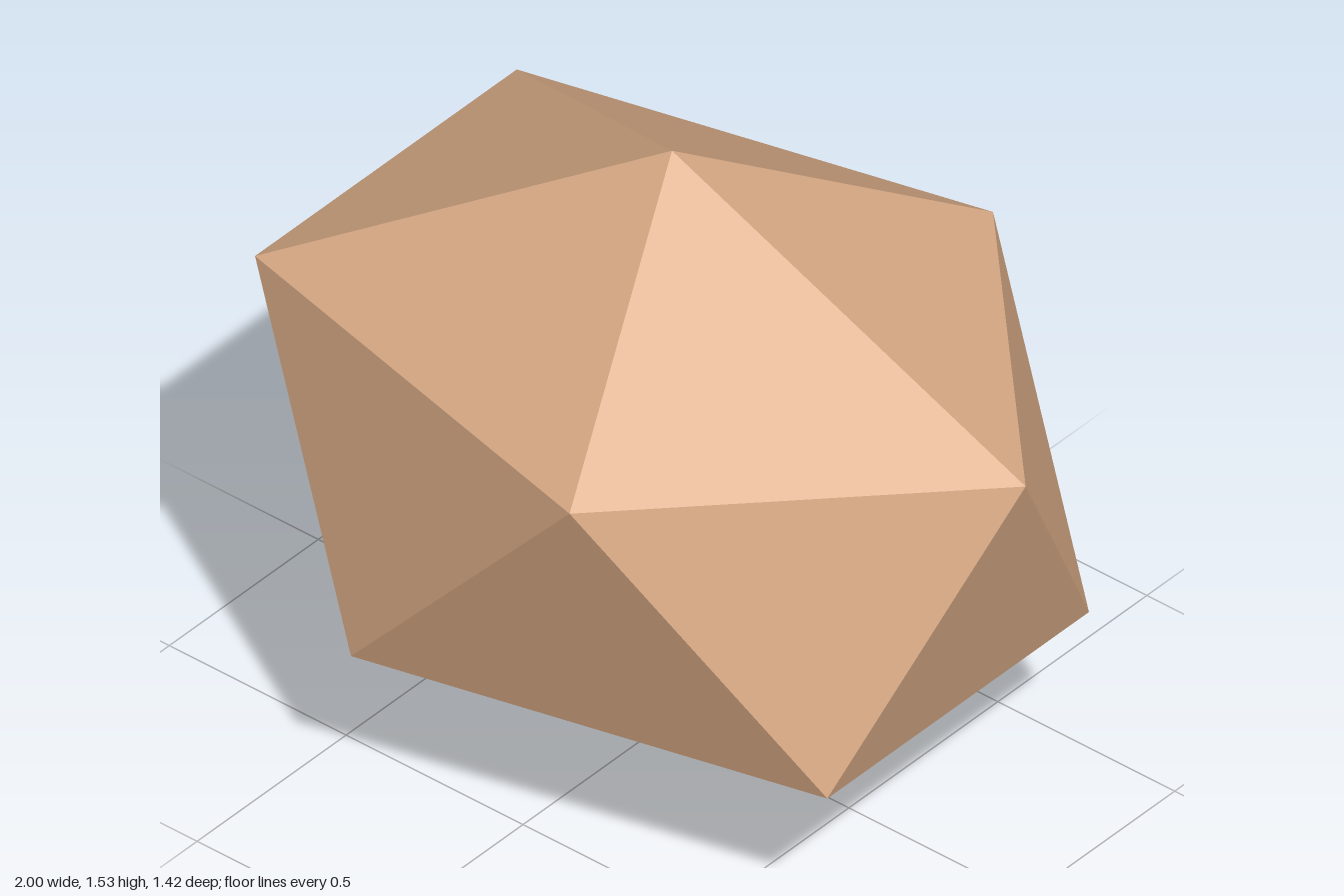
import * as THREE from 'three';

// Faceted twenty-sided stone, stretched along x
export function createModel() {
  const group = new THREE.Group();
  group.name = 'facetedStone';

  const tan = new THREE.MeshStandardMaterial({ color: 0xd8aa85, flatShading: true });
  tan.name = 'warm tan';

  const height = 1.535, lowerY = 0.427, upperY = 1.111;
  const radiusX = 1, radiusZ = 0.747;

  // Point on one of the two staggered five-sided rings
  const ringPoint = (turn, y) => {
    const a = (turn * Math.PI * 2) / 5;
    return [radiusX * Math.cos(a), y, -radiusZ * Math.sin(a)];
  };
  const top = [0, height, 0];
  const bottom = [0, 0, 0];

  // Each fifth: a top facet, two side facets and a bottom facet
  const positions = [];
  for (let i = 0; i < 5; i++) {
    const u0 = ringPoint(i, upperY), u1 = ringPoint(i + 1, upperY);
    const l0 = ringPoint(i + 0.5, lowerY), l1 = ringPoint(i + 1.5, lowerY);
    positions.push(
      ...top, ...u0, ...u1,
      ...u0, ...l0, ...u1,
      ...l0, ...l1, ...u1,
      ...l0, ...bottom, ...l1
    );
  }

  const geometry = new THREE.BufferGeometry();
  geometry.setAttribute('position', new THREE.Float32BufferAttribute(positions, 3));
  geometry.computeVertexNormals();

  const stone = new THREE.Mesh(geometry, tan);
  stone.name = 'stone';
  group.add(stone);
  return group;
}
